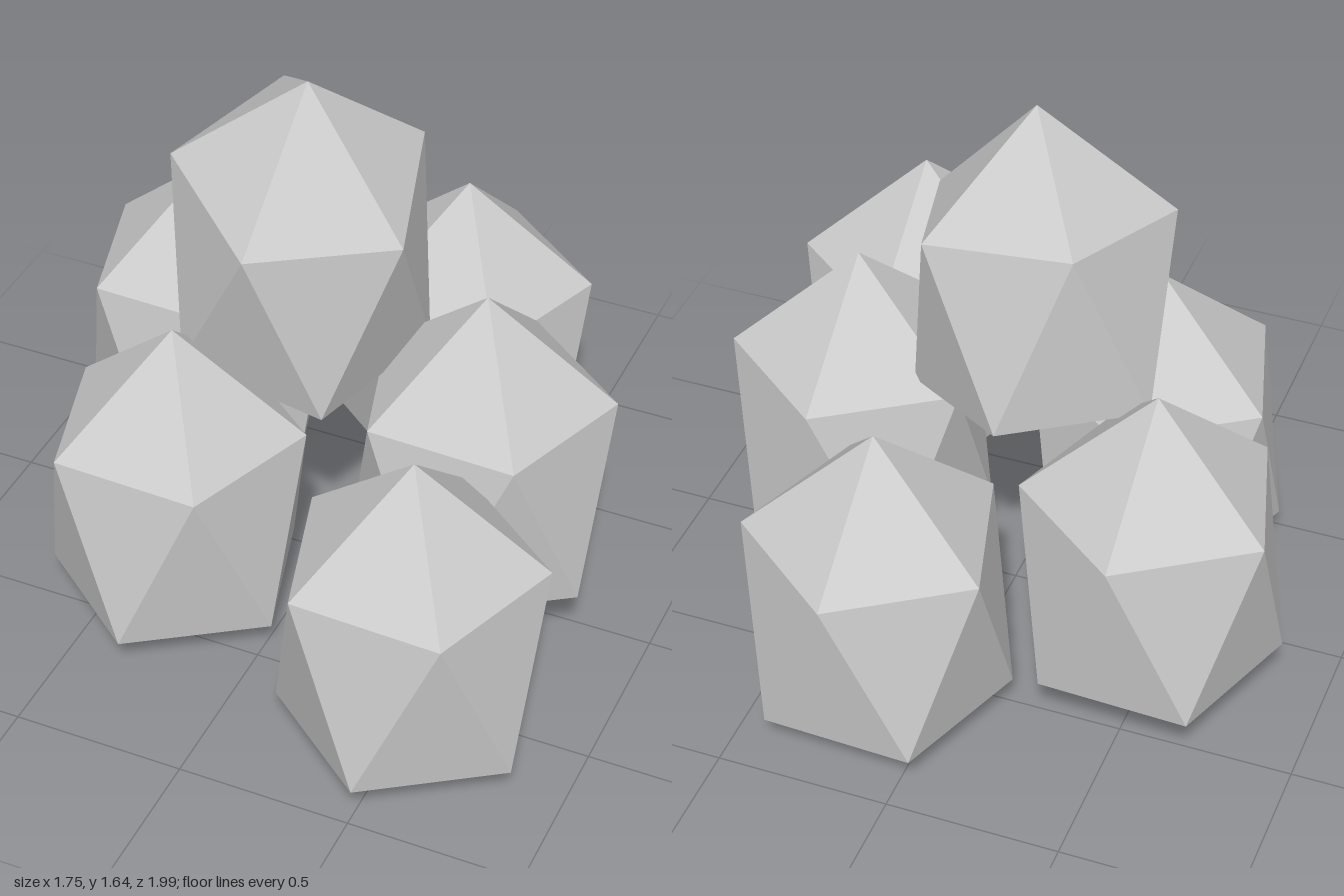
import * as THREE from 'three';

// Egg-shaped stone: tip, two offset five-point rings and a shallow base.
// ringY is the upper ring height; slope tilts the rings, lean shifts the axis.
function stoneGeometry({ radius = 0.37, cap = 0.325, body = 0.527, base = 0.1, turn = -88, slope = [0, 0], lean = [0, 0] }) {
  const at = (h, x = 0, z = 0) =>
    new THREE.Vector3(x + lean[0] * h, h - slope[0] * x - slope[1] * z, z + lean[1] * h);
  const ring = (h, offset) => Array.from({ length: 5 }, (_, i) => {
    const a = THREE.MathUtils.degToRad(turn + offset + 72 * i);
    return at(h, radius * Math.cos(a), radius * Math.sin(a));
  });
  const tip = at(cap), bottom = at(-body - base);
  const up = ring(0, 0), low = ring(-body, 36);
  const points = [];
  for (let i = 0; i < 5; i++) {
    const j = (i + 1) % 5;
    points.push(tip, up[j], up[i]);
    points.push(up[i], up[j], low[i]);
    points.push(low[i], up[j], low[j]);
    points.push(bottom, low[i], low[j]);
  }
  const geometry = new THREE.BufferGeometry().setFromPoints(points);
  geometry.computeVertexNormals();
  return geometry;
}

export function createModel() {
  const group = new THREE.Group();
  group.name = 'stonePile';
  const material = new THREE.MeshStandardMaterial({ color: 0xcccccc, flatShading: true });

  // Positions are the centres of the upper rings
  const stones = [
    { name: 'frontLeftStone', position: [0.519, 0.645, 0.625] },
    { name: 'frontRightStone', position: [-0.317, 0.63, 0.345], base: 0.097 },
    { name: 'sideLeftStone', position: [0.469, 0.742, -0.003], base: 0.165 },
    { name: 'backRightStone', position: [-0.52, 0.727, -0.31] },
    { name: 'backStone', position: [0.165, 0.645, -0.63] },
    // Tilted stone resting on top of the ring
    { name: 'topStone', position: [-0.068, 1.333, 0.011], cap: 0.317, base: 0.13,
      turn: 20.6, slope: [0.13, 0.185], lean: [0.073, 0.092] },
  ];

  for (const { name, position, ...shape } of stones) {
    const stone = new THREE.Mesh(stoneGeometry(shape), material);
    stone.name = name;
    stone.position.set(...position);
    group.add(stone);
  }
  return group;
}
